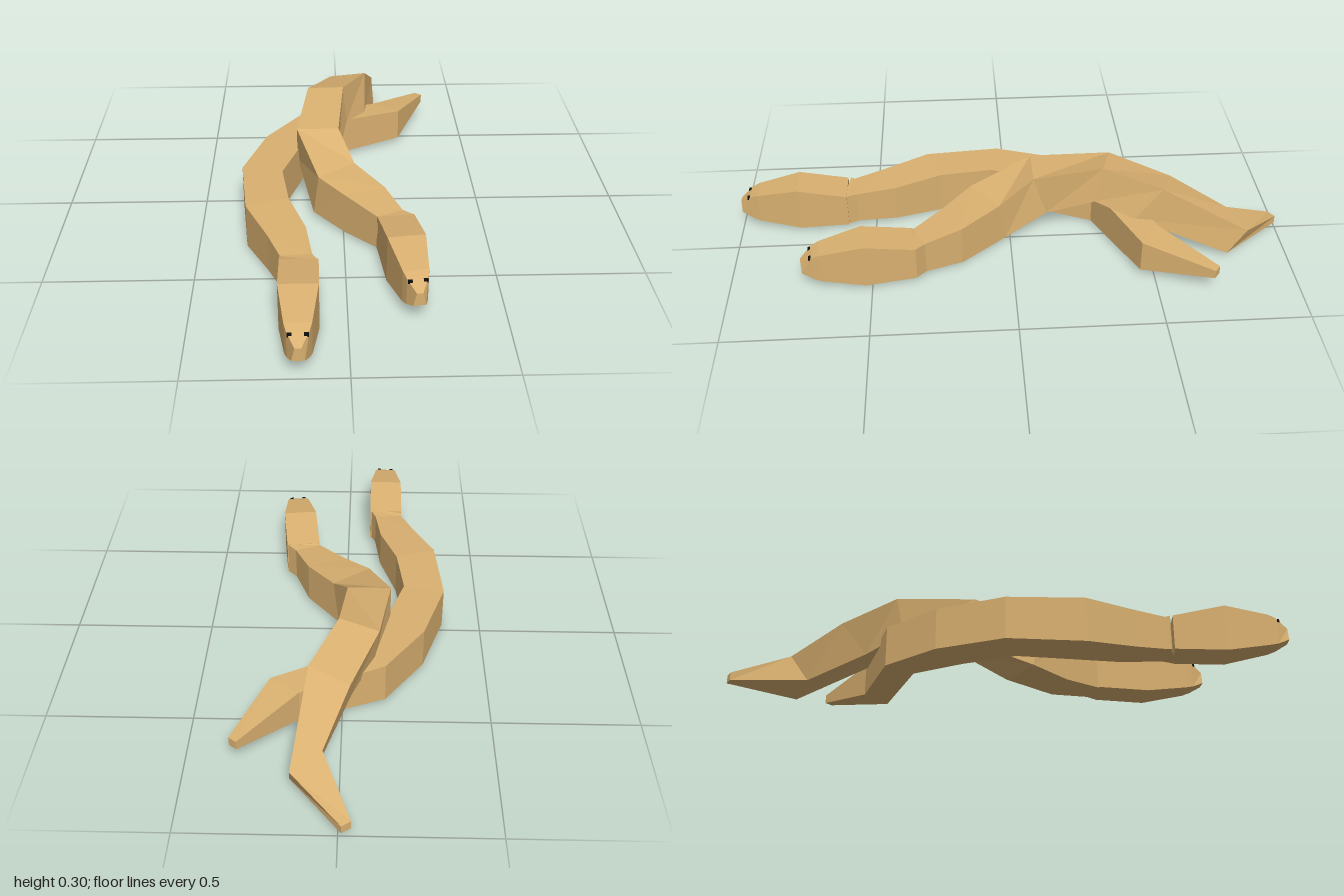
import * as THREE from 'three';

const fur = new THREE.MeshStandardMaterial({ color: 0xd9b070, flatShading: true });
const black = new THREE.MeshStandardMaterial({ color: 0x0c0c0c, flatShading: true });

// Skin four-cornered rings, ordered front to back, with caps at both ends
function loft(rings, name) {
  const pos = [];
  const quad = (a, b, c, d) => [a, b, c, a, c, d].forEach((p) => pos.push(...p));
  for (let k = 0; k < rings.length - 1; k++) {
    const a = rings[k], b = rings[k + 1];
    for (let i = 0; i < 4; i++) {
      const j = (i + 1) % 4;
      quad(a[i], b[i], b[j], a[j]);
    }
  }
  quad(...rings[0]);
  quad(...[...rings[rings.length - 1]].reverse());
  const geo = new THREE.BufferGeometry();
  geo.setAttribute('position', new THREE.Float32BufferAttribute(pos, 3));
  geo.computeVertexNormals();
  const mesh = new THREE.Mesh(geo, fur);
  mesh.name = name;
  return mesh;
}

// Body ring from its two edges in plan, its height range, forward tilt of the top and roll
function bodyRing([lx, lz, rx, rz, y0, y1, tilt = 0, roll = 0]) {
  const w = Math.hypot(rx - lx, rz - lz);
  const ux = (rx - lx) / w, uz = (rz - lz) / w;
  const h = (y1 - y0) / 2, lift = roll * w / 2;
  const corner = (side, up) => {
    const f = up * tilt, s = -up * roll * h;
    return [
      (side < 0 ? lx : rx) + ux * s - uz * f,
      (up < 0 ? y0 : y1) + side * lift,
      (side < 0 ? lz : rz) + uz * s + ux * f,
    ];
  };
  return [corner(-1, -1), corner(1, -1), corner(1, 1), corner(-1, 1)];
}

// Head: z, half width below, half width above, bottom, top
const HEAD = [
  [0.397, 0.020, 0.010, 0.065, 0.110],
  [0.357, 0.034, 0.034, 0.045, 0.140],
  [0.330, 0.042, 0.042, 0.037, 0.151],
  [0.180, 0.063, 0.063, 0.012, 0.180],
  [0.000, 0.063, 0.063, 0.020, 0.146],
];

function makeHead(x, z, yaw) {
  const head = new THREE.Group();
  head.name = 'head';
  head.add(loft(HEAD.map(([d, wb, wt, y0, y1]) =>
    [[-wb, y0, d], [wb, y0, d], [wt, y1, d], [-wt, y1, d]]), 'skull'));
  for (const s of [-1, 1]) {
    const eye = new THREE.Mesh(new THREE.BoxGeometry(0.014, 0.011, 0.01), black);
    eye.name = s > 0 ? 'leftEye' : 'rightEye';
    eye.position.set(s * 0.025, 0.133, 0.363);
    head.add(eye);
  }
  head.position.set(x, 0, z);
  head.rotation.y = yaw;
  return head;
}

// Body lying flat on the ground, from neck to tail tip
const LOW_BODY = [
  [-0.215, 0.59, -0.090, 0.61, 0.020, 0.146],
  [-0.213, 0.575, -0.110, 0.565, 0.020, 0.142],
  [-0.255, 0.47, -0.130, 0.42, 0.012, 0.150],
  [-0.335, 0.30, -0.190, 0.25, 0.000, 0.160],
  [-0.360, 0.03, -0.215, 0.06, 0.005, 0.158],
  [-0.280, -0.21, -0.150, -0.13, 0.008, 0.158],
  [-0.145, -0.40, -0.070, -0.31, 0.010, 0.158],
  [0.140, -0.52, 0.240, -0.45, 0.020, 0.140],
  [0.330, -0.71, 0.355, -0.69, 0.065, 0.097],
];

// Body arching over the other one, from neck to tail tip
const HIGH_BODY = [
  [0.110, 0.36, 0.235, 0.345, 0.020, 0.146],
  [0.110, 0.35, 0.200, 0.31, 0.018, 0.142],
  [0.005, 0.235, 0.145, 0.18, 0.008, 0.158],
  [-0.095, 0.13, 0.035, 0.03, 0.020, 0.178, 0.015],
  [-0.163, -0.11, -0.010, -0.11, 0.100, 0.253, 0.025],
  [-0.115, -0.36, 0.020, -0.32, 0.160, 0.294, -0.01, 0.15],
  [-0.030, -0.54, 0.105, -0.49, 0.125, 0.252, -0.045, 0.25],
  [0.055, -0.755, 0.155, -0.815, 0.030, 0.125, -0.03, -0.3],
  [-0.040, -0.98, -0.010, -1.00, 0.012, 0.042],
];

function makeCreature(name, stations, x, z, yaw) {
  const creature = new THREE.Group();
  creature.name = name;
  creature.add(loft(stations.map(bodyRing), 'bodyAndTail'), makeHead(x, z, yaw));
  return creature;
}

export function createModel() {
  const model = new THREE.Group();
  model.name = 'crossingPair';
  model.add(
    makeCreature('lowerCreature', LOW_BODY, -0.152, 0.6, 0),
    makeCreature('upperCreature', HIGH_BODY, 0.173, 0.35, 0.12),
  );
  return model;
}
